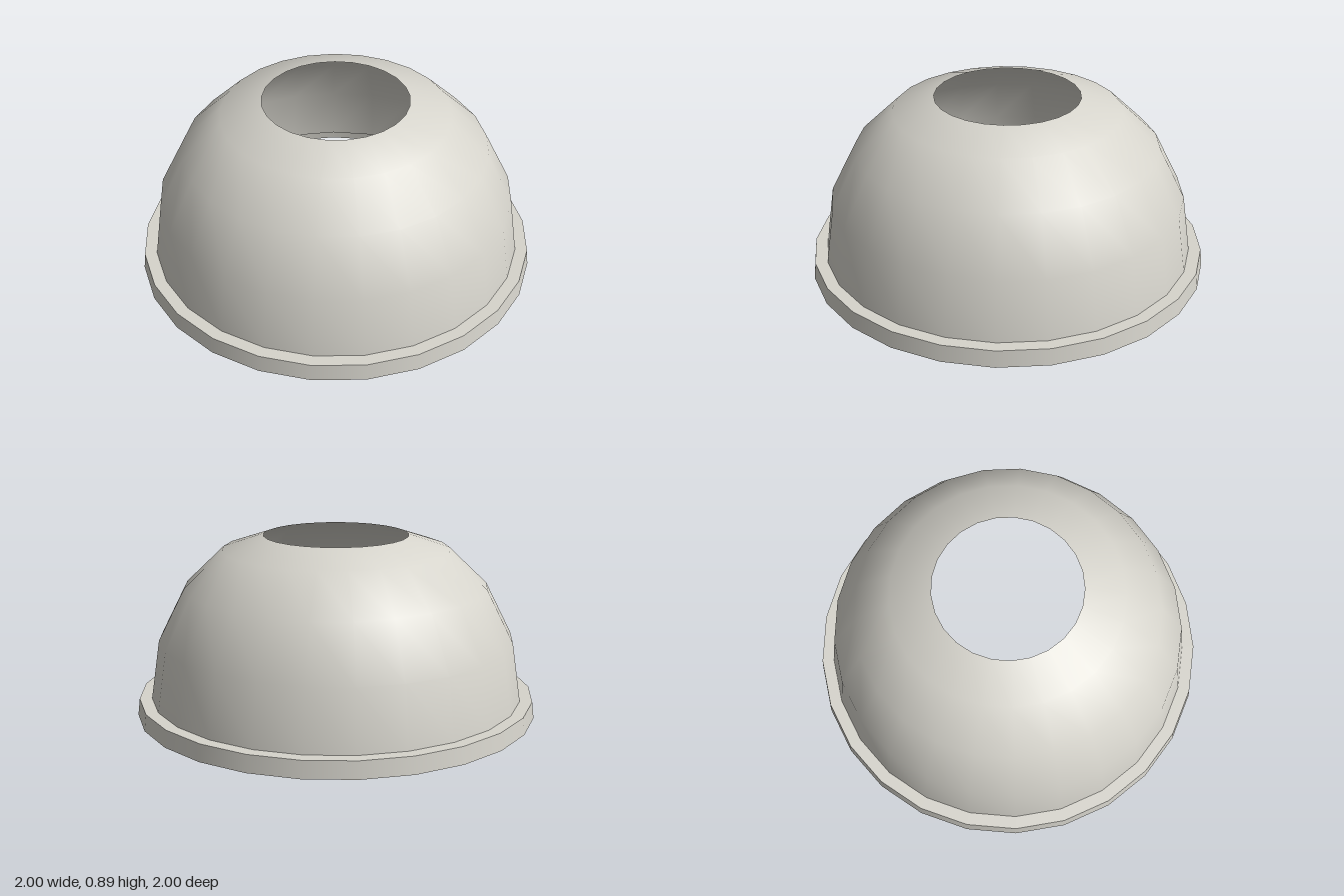
import * as THREE from 'three';

const SIDES = 25;

export function createModel() {
  const group = new THREE.Group();
  group.name = 'openDome';
  const shell = new THREE.MeshStandardMaterial({ color: 0xd6d4cc, side: THREE.DoubleSide });
  shell.name = 'warm light grey';

  // Each part is an open surface of revolution, so edges between parts stay sharp
  const addRing = (name, profile) => {
    const points = profile.map(([r, y]) => new THREE.Vector2(r, y));
    const mesh = new THREE.Mesh(new THREE.LatheGeometry(points, SIDES), shell);
    mesh.name = name;
    mesh.position.z = -0.004; // centres the odd-sided ring
    group.add(mesh);
  };

  // Short tapered wall standing on the ground
  addRing('rimWall', [[1.002, 0], [0.992, 0.083]]);
  // Flat ledge from the rim to the dome
  addRing('rimLedge', [[0.992, 0.083], [0.931, 0.083]]);
  // Rounded shell, open at the top
  addRing('dome', [[0.931, 0.083], [0.886, 0.377], [0.755, 0.635], [0.565, 0.817], [0.36, 0.886]]);

  return group;
}
